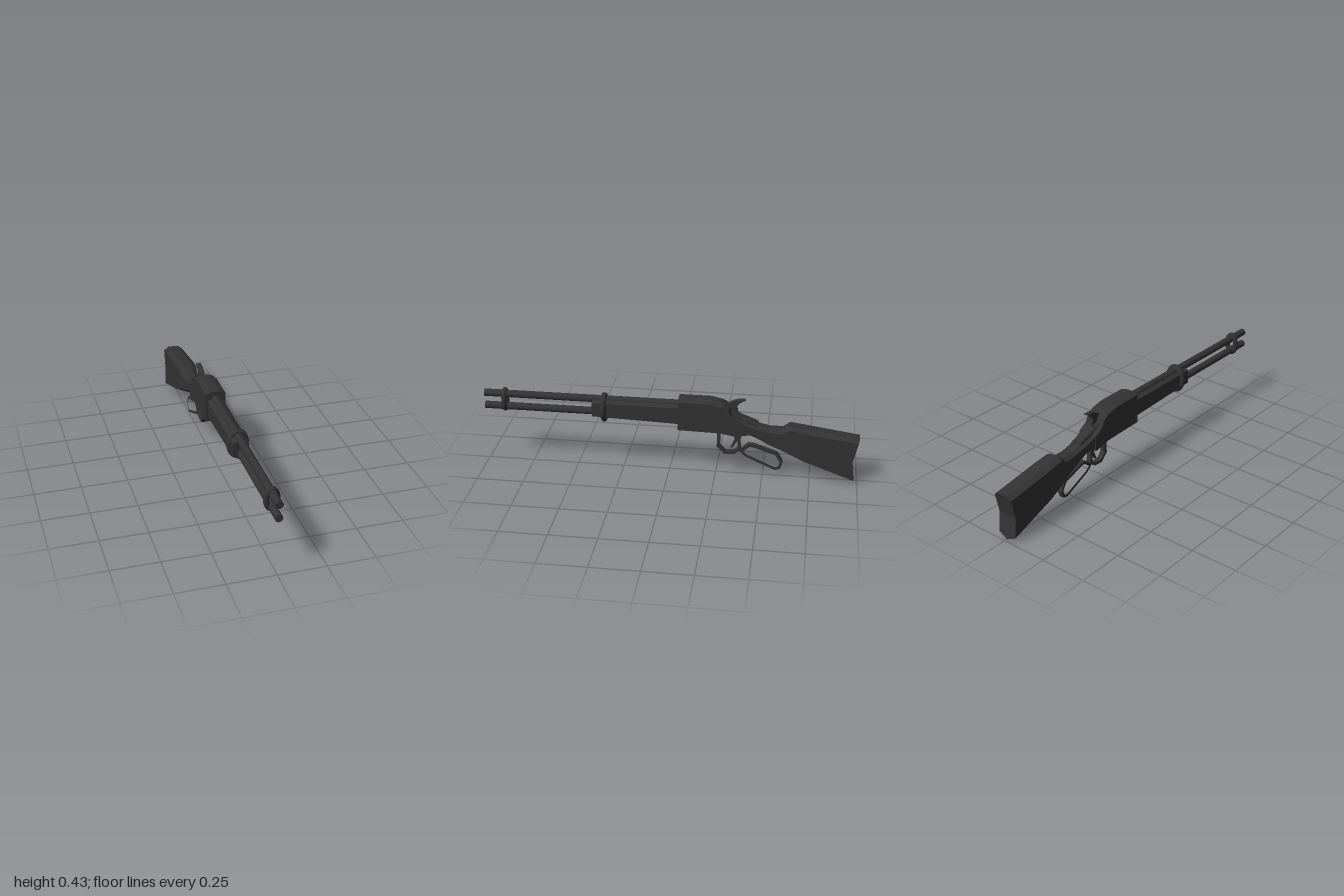
import * as THREE from 'three';

const flat = new THREE.MeshStandardMaterial({ color: 0x333333, flatShading: true });
const smooth = new THREE.MeshStandardMaterial({ color: 0x333333 });

function add(parent, name, geometry, material = flat) {
  const mesh = new THREE.Mesh(geometry, material);
  mesh.name = name;
  parent.add(mesh);
  return mesh;
}

// Skin over mirrored cross-sections, listed front to back; each holds [x, y, z] from top to bottom
function loft(sections) {
  const out = [];
  const quad = (a, b, c, d) => out.push(...a, ...b, ...c, ...a, ...c, ...d);
  const mirror = ([x, y, z]) => [-x, y, z];
  const rings = sections.map((s) => [...s, ...s.map(mirror).reverse()]);
  for (let i = 0; i + 1 < rings.length; i++) {
    const p = rings[i], q = rings[i + 1];
    for (let j = 0; j < p.length; j++) {
      const k = (j + 1) % p.length;
      quad(p[j], p[k], q[k], q[j]);
    }
  }
  const first = sections[0], last = sections[sections.length - 1];
  for (let j = 0; j + 1 < first.length; j++) {
    quad(first[j], mirror(first[j]), mirror(first[j + 1]), first[j + 1]);
    quad(last[j], last[j + 1], mirror(last[j + 1]), mirror(last[j]));
  }
  const g = new THREE.BufferGeometry();
  g.setAttribute('position', new THREE.Float32BufferAttribute(out, 3));
  g.computeVertexNormals();
  return g;
}

const vectors = (pts) => pts.map(([u, v]) => new THREE.Vector2(u, v));

// Side outline in (distance behind the middle, height), extruded across x
function sideExtrude(pts, width, hole, x = 0) {
  const shape = new THREE.Shape(vectors(pts));
  if (hole) shape.holes.push(new THREE.Path(vectors(hole)));
  const g = new THREE.ExtrudeGeometry(shape, { depth: width, bevelEnabled: false });
  return g.translate(0, 0, x - width / 2).rotateY(Math.PI / 2);
}

// Oval ring around both tubes
function band(rx, ry, y, z, r) {
  const pts = [];
  for (let i = 0; i < 24; i++) {
    const a = (i / 24) * Math.PI * 2;
    pts.push(new THREE.Vector3(rx * Math.cos(a), y + ry * Math.sin(a), z));
  }
  return new THREE.TubeGeometry(new THREE.CatmullRomCurve3(pts, true), 40, r, 10, true);
}

export function createModel() {
  const model = new THREE.Group();
  model.name = 'leverActionRifle';

  // Barrel and magazine tube
  for (const [name, y] of [['barrel', 0.396], ['magazineTube', 0.324]]) {
    const g = new THREE.CylinderGeometry(0.02, 0.02, 1.08, 20).rotateX(Math.PI / 2);
    add(model, name, g.translate(0, y, 0.46), smooth);
  }
  add(model, 'frontBand', band(0.028, 0.053, 0.363, 0.89, 0.014), smooth);
  add(model, 'forendBand', band(0.043, 0.066, 0.35, 0.35, 0.016), smooth);

  // Forend with a shallow keel
  const forendSection = (z, w, top, side, keel) =>
    [[0.02, top, z], [w, top - 0.012, z], [w, side, z], [0, keel, z]];
  add(model, 'forend', loft([
    forendSection(0.41, 0.041, 0.398, 0.31, 0.29),
    forendSection(-0.07, 0.043, 0.398, 0.295, 0.273),
  ]));

  // Receiver core: height of the top and bottom along its length
  const receiver = new THREE.Group();
  receiver.name = 'receiver';
  model.add(receiver);
  const stations = [
    [0.05, 0.437, 0.265], [0.21, 0.437, 0.262], [0.28, 0.423, 0.26],
    [0.315, 0.402, 0.253], [0.335, 0.365, 0.249], [0.385, 0.335, 0.24],
  ];
  add(receiver, 'receiverCore', loft(stations.map(([u, top, bottom]) => [
    [0.02, top, -u], [0.054, top - 0.012, -u], [0.047, top - 0.016, -u], [0.047, bottom, -u],
  ])));

  // Side plates with the loading opening
  const outline = [
    ...stations.map(([u, top]) => [u, top - 0.012]),
    ...stations.map(([u, , bottom]) => [u, bottom]).reverse(),
  ];
  const port = [[0.185, 0.32], [0.185, 0.365], [0.255, 0.365], [0.255, 0.32]];
  for (const s of [1, -1]) {
    add(receiver, s > 0 ? 'leftPlate' : 'rightPlate', sideExtrude(outline, 0.007, port, s * 0.0505));
  }

  // Tang sloping from the receiver onto the wrist
  add(model, 'tang', loft([
    [[0.024, 0.385, -0.31], [0.034, 0.375, -0.31], [0.034, 0.3, -0.31]],
    [[0.022, 0.348, -0.38], [0.03, 0.34, -0.38], [0.03, 0.28, -0.38]],
    [[0.02, 0.315, -0.468], [0.027, 0.309, -0.468], [0.027, 0.27, -0.468]],
  ]));

  // Hammer with its curved spur
  const hammer = new THREE.Shape();
  hammer.moveTo(0.295, 0.38);
  hammer.lineTo(0.31, 0.412);
  hammer.quadraticCurveTo(0.34, 0.442, 0.4, 0.438);
  hammer.quadraticCurveTo(0.355, 0.42, 0.356, 0.395);
  hammer.lineTo(0.365, 0.34);
  hammer.lineTo(0.31, 0.34);
  add(model, 'hammer', sideExtrude(hammer.getPoints(5).map((p) => [p.x, p.y]), 0.026));

  // Stock: wrist, comb step and hollowed butt
  const stockSection = (u, w, top, keel, rise = 0.025) => {
    const shoulder = top - 0.016, low = keel + rise;
    return [[w * 0.5, top, -u], [w, shoulder, -u], [w, (shoulder + low) / 2, -u], [w, low, -u], [0, keel, -u]];
  };
  const butt = stockSection(1, 0.054, 0.262, 0.004);
  [-1, -0.994, -0.97, -0.981, -0.986].forEach((z, i) => { butt[i][2] = z; });
  add(model, 'stock', loft([
    stockSection(0.37, 0.051, 0.338, 0.236, 0.012),
    stockSection(0.43, 0.046, 0.315, 0.233),
    stockSection(0.48, 0.042, 0.3, 0.21),
    stockSection(0.53, 0.042, 0.289, 0.183),
    stockSection(0.6, 0.046, 0.288, 0.152),
    stockSection(0.635, 0.051, 0.314, 0.137),
    stockSection(0.72, 0.054, 0.302, 0.098),
    butt,
  ]));

  // Trigger guard, trigger and finger loop
  add(model, 'triggerGuard', sideExtrude([
    [0.256, 0.27], [0.254, 0.162], [0.295, 0.12], [0.35, 0.124], [0.382, 0.15], [0.374, 0.235],
    [0.36, 0.25], [0.367, 0.158], [0.344, 0.138], [0.3, 0.135], [0.27, 0.168], [0.272, 0.27],
  ], 0.028));
  add(model, 'trigger', sideExtrude([
    [0.335, 0.26], [0.348, 0.205], [0.326, 0.155], [0.336, 0.157], [0.364, 0.2], [0.36, 0.26],
  ], 0.014));
  add(model, 'fingerLoop', sideExtrude(
    [[0.372, 0.142], [0.42, 0.186], [0.45, 0.184], [0.575, 0.142], [0.606, 0.09], [0.594, 0.05], [0.565, 0.042], [0.41, 0.11]],
    0.026,
    [[0.395, 0.142], [0.426, 0.17], [0.448, 0.169], [0.566, 0.13], [0.591, 0.089], [0.583, 0.062], [0.566, 0.058], [0.418, 0.123]],
  ));

  return model;
}
